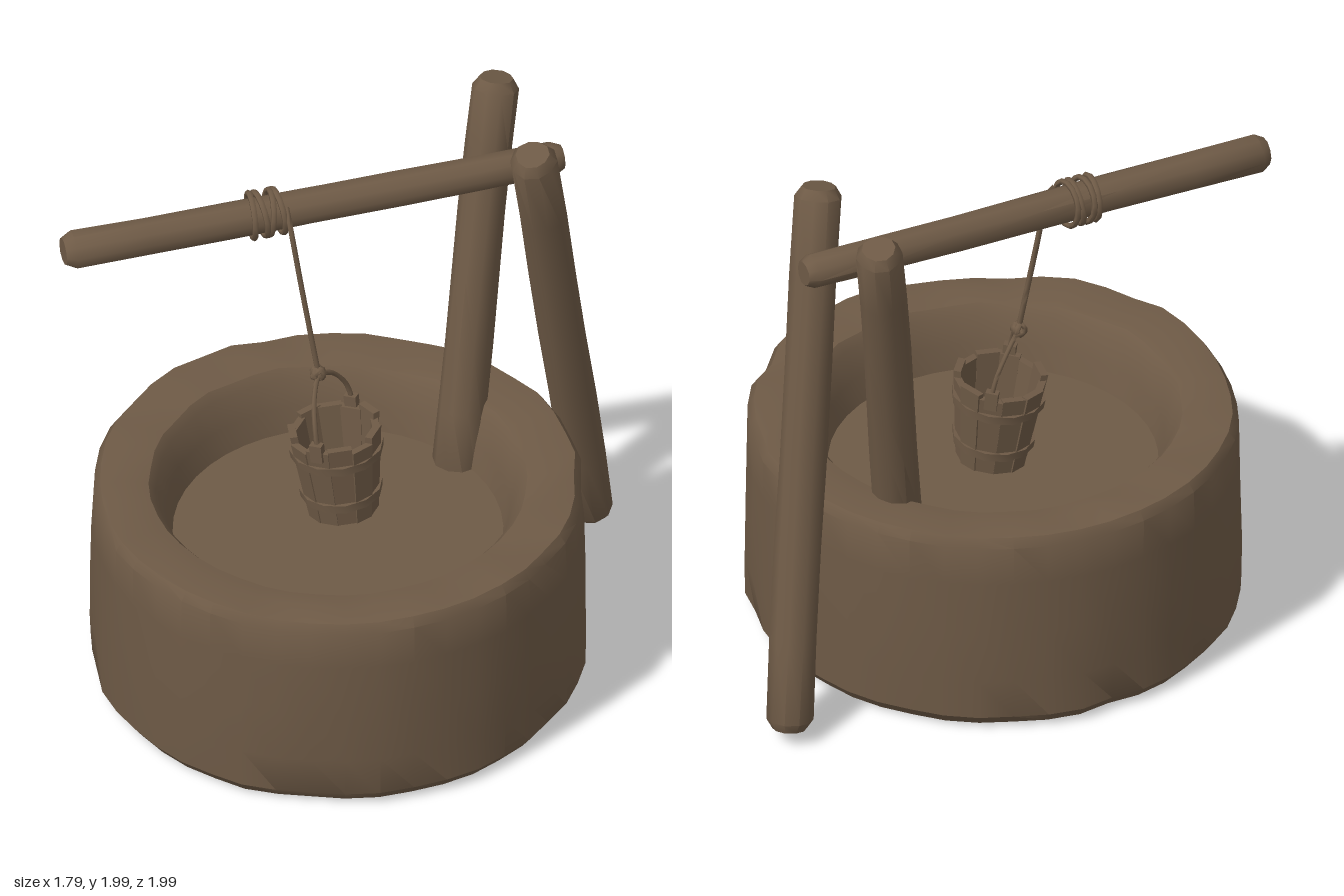
import * as THREE from 'three';
import { toCreasedNormals } from 'three/addons/utils/BufferGeometryUtils.js';

const brown = new THREE.MeshStandardMaterial({ color: 0x6e5a46 });
brown.name = 'weathered brown';
const V = (x, y, z) => new THREE.Vector3(x, y, z);

function part(name, geometry, crease = 0.6) {
  const mesh = new THREE.Mesh(toCreasedNormals(geometry, crease), brown);
  mesh.name = name;
  return mesh;
}

// Lathe from [radius, height] pairs listed from the bottom outwards
function lathe(points, sides) {
  return new THREE.LatheGeometry(points.map(([r, y]) => new THREE.Vector2(r, y)), sides);
}

// Moves every vertex by a rule
function reshape(geometry, rule) {
  const p = geometry.attributes.position, v = V(0, 0, 0);
  for (let i = 0; i < p.count; i++) {
    rule(v.fromBufferAttribute(p, i));
    p.setXYZ(i, v.x, v.y, v.z);
  }
  return geometry;
}

// Bevelled, slightly crooked log between two points
function log(name, from, to, r0, r1, bend) {
  const L = from.distanceTo(to), profile = [[0, 0], [r0 * 0.72, 0], [r0, 0.035]];
  for (let i = 1; i < 6; i++) profile.push([r0 + (r1 - r0) * i / 6, L * i / 6]);
  profile.push([r1, L - 0.035], [r1 * 0.72, L], [0, L]);
  const geometry = reshape(lathe(profile, 10), v => {
    const a = Math.atan2(v.z, v.x), s = 1 + 0.035 * Math.sin(3 * a + 5 * v.y);
    v.x *= s;
    v.z = v.z * s;
    const sag = bend * Math.sin(Math.PI * v.y / L);
    v.x += sag;
  });
  const mesh = part(name, geometry, 0.8);
  mesh.position.copy(from);
  mesh.quaternion.setFromUnitVectors(V(0, 1, 0), to.clone().sub(from).normalize());
  return mesh;
}

function rope(name, points, radius, closed = false) {
  const curve = new THREE.CatmullRomCurve3(points, closed);
  return part(name, new THREE.TubeGeometry(curve, points.length * 5, radius, 6, closed), 1.2);
}

// Stone basin with worn edges and shallow dents
function createBasin() {
  const profile = [[0, 0], [0.6, 0.005], [0.83, 0.01], [0.86, 0.05], [0.863, 0.2], [0.863, 0.4],
    [0.86, 0.6], [0.857, 0.75], [0.835, 0.783], [0.74, 0.787], [0.66, 0.775], [0.635, 0.745],
    [0.6, 0.65], [0.575, 0.56], [0, 0.56]];
  const geometry = reshape(lathe(profile, 44), v => {
    const r = Math.hypot(v.x, v.z), a = Math.atan2(v.z, v.x);
    if (r < 0.59 || r < 0.61 && v.y < 0.1) return;
    const wave = Math.sin(5 * a + 4 * v.y) * Math.sin(9 * a + 1);
    const chip = Math.pow(Math.max(0, Math.sin(7 * a + 2 * Math.sin(3 * a))), 6);
    const edge = v.y < 0.1 || v.y > 0.7 ? 1 : 0.25;
    const s = 1 + 0.008 * wave - (r > 0.8 ? 0.018 * chip * edge : 0);
    v.x *= s;
    v.z *= s;
    if (v.y > 0.7) v.y += 0.008 * wave - 0.014 * chip * (r > 0.8 ? 1 : 0);
  });
  const basin = part('stoneBasin', geometry, 0.6);
  basin.position.set(0.035, 0, 0.13);
  return basin;
}

// Wooden bucket with uneven staves, two hoops and a floor
function createBucket() {
  const bucket = new THREE.Group();
  bucket.name = 'bucket';
  const H = 0.33, rBottom = 0.122, rTop = 0.16, count = 12;
  const taper = y => 1 + (rTop / rBottom - 1) * y / H;
  for (let i = 0; i < count; i++) {
    const h = H + 0.014 * Math.sin(i * 2.7);
    const box = new THREE.BoxGeometry(0.064, h, 0.02);
    box.translate(0, h / 2, rBottom - 0.01 + 0.003 * Math.sin(i * 4.1));
    reshape(box, v => { v.x *= taper(v.y); v.z *= taper(v.y); });
    const stave = part('stave', box);
    stave.rotation.y = i / count * Math.PI * 2;
    bucket.add(stave);
  }
  for (const y of [0.08, 0.25]) {
    const r = rBottom * taper(y), w = 0.016;
    bucket.add(part('hoop', lathe([[r, y - w], [r + 0.013, y - w], [r + 0.016, y + w], [r, y + w]], 12)));
  }
  const floor = part('bucketFloor', new THREE.CylinderGeometry(0.122, 0.12, 0.03, 12));
  floor.position.y = 0.025;
  bucket.add(floor);
  // Lugs that hold the handle
  for (const side of [-1, 1]) {
    const lug = part('handleLug', new THREE.BoxGeometry(0.045, 0.07, 0.03));
    lug.position.set(0, 0.33, side * 0.155);
    bucket.add(lug);
  }
  bucket.position.set(0.03, 0.62, 0.07);
  bucket.rotation.z = 0.1;
  return bucket;
}

export function createModel() {
  const model = new THREE.Group();
  model.name = 'well';
  model.add(createBasin(), createBucket());

  // Crossed posts and the beam resting in their fork
  const beamStart = V(-0.86, 1.745, 0.465), beamEnd = V(0.545, 1.78, -0.665);
  model.add(
    log('outerPost', V(0.545, 0.05, -0.92), V(0.545, 1.975, -0.4), 0.083, 0.083, 0.004),
    log('innerPost', V(0.26, 0.5, -0.39), V(0.26, 1.98, -0.755), 0.085, 0.082, -0.004),
    log('beam', beamStart, beamEnd, 0.069, 0.062, 0.004));

  // Rope coils around the beam
  const axis = beamEnd.clone().sub(beamStart).normalize();
  const coils = new THREE.Group();
  coils.name = 'ropeCoils';
  for (let i = 0; i < 4; i++) {
    const coil = part('coil', new THREE.TorusGeometry(0.08, 0.011, 6, 14), 1.2);
    coil.position.copy(beamStart).addScaledVector(axis, 0.68 + i * 0.032);
    coil.quaternion.setFromUnitVectors(V(0, 0, 1), axis.clone().add(V(0, 0.12 * Math.sin(i * 2.3), 0.1 * Math.cos(i * 3))).normalize());
    coils.add(coil);
  }
  model.add(coils);

  // Hanging rope with a knot
  model.add(rope('hangingRope', [V(-0.21, 1.81, 0.01), V(-0.175, 1.74, 0.05), V(-0.13, 1.5, 0.058), V(-0.07, 1.17, 0.06)], 0.01));
  const knot = new THREE.Group();
  knot.name = 'knot';
  for (let i = 0; i < 3; i++) {
    const loop = part('knotLoop', new THREE.TorusGeometry(0.022, 0.01, 6, 10), 1.2);
    loop.rotation.set(i * 1.1, i * 0.9, 0.4);
    knot.add(loop);
  }
  knot.position.set(-0.07, 1.16, 0.06);
  model.add(knot);

  // Arched bucket handle
  model.add(rope('handle', [V(0, 0.95, 0.225), V(-0.02, 1.04, 0.205), V(-0.05, 1.12, 0.14), V(-0.065, 1.15, 0.065),
    V(-0.05, 1.12, -0.01), V(-0.02, 1.04, -0.07), V(0, 0.95, -0.09)], 0.009));
  return model;
}
